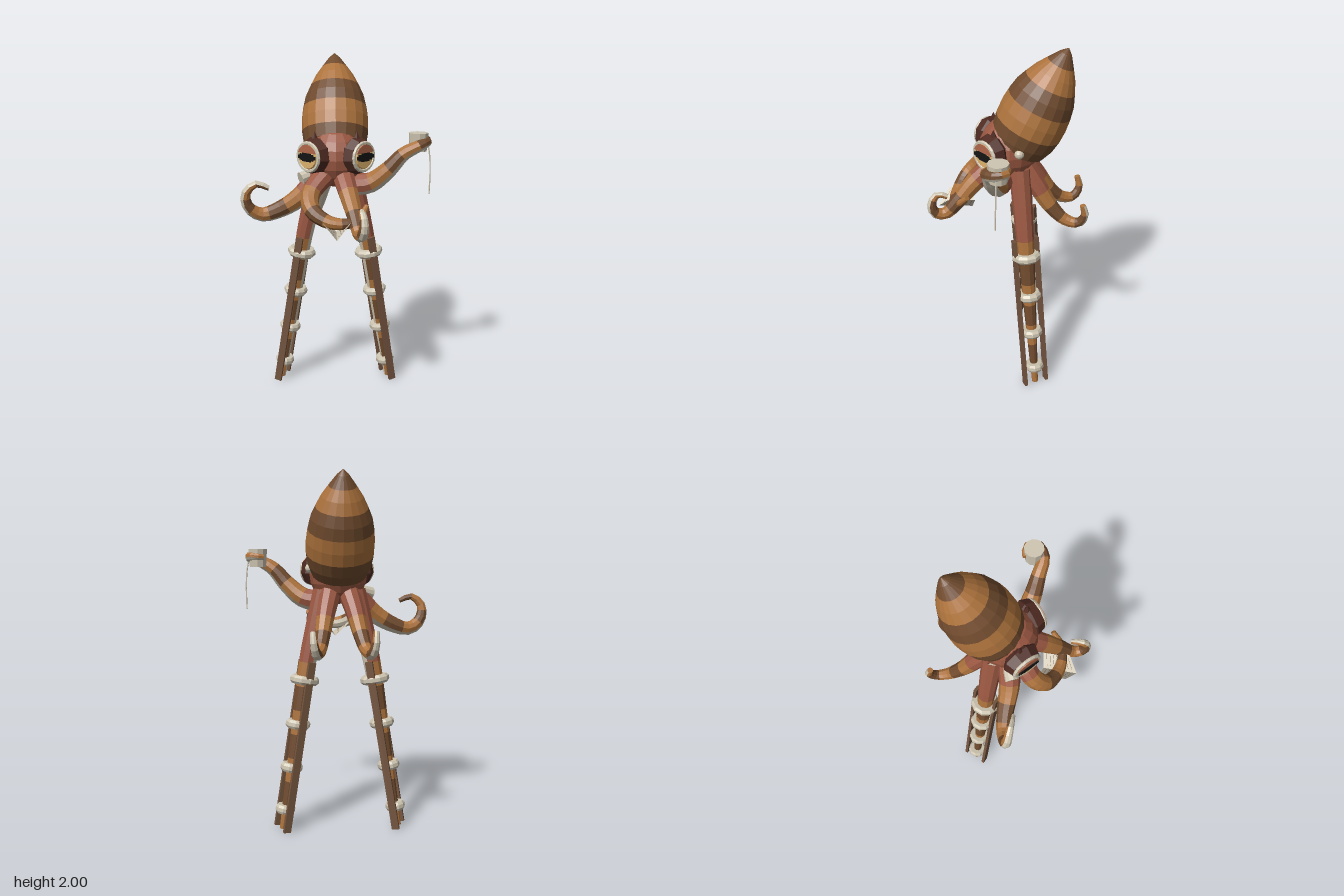
import * as THREE from 'three';

const V = (x, y, z) => new THREE.Vector3(x, y, z);
const mat = (name, color, opts = {}) =>
  new THREE.MeshStandardMaterial({ name, color, flatShading: true, ...opts });

export function createModel() {
  const model = new THREE.Group();
  model.name = 'octopusOnStilts';
  const cream = mat('cream', 0xcfc6b2, { side: THREE.DoubleSide });
  const red = mat('redSkin', 0x9b5842);
  const light = mat('lightBrown', 0xac723c);
  const dark = mat('darkBrown', 0x704b2e);
  const socketMat = mat('socketBrown', 0x4f2b22);
  const wood = mat('wood', 0x73543f);
  const tan = mat('irisTan', 0xdcb06c);
  const black = mat('black', 0x141414);
  const lidMat = mat('eyelid', 0xb0674a);

  const add = (parent, name, geo, material, pos = [0, 0, 0], rot = [0, 0, 0]) => {
    const m = new THREE.Mesh(geo, material);
    m.name = name;
    m.position.set(...pos);
    m.rotation.set(...rot);
    parent.add(m);
    return m;
  };

  // Mantle: striped lathe sections, leaning backwards
  const mantle = new THREE.Group();
  mantle.name = 'mantle';
  mantle.position.set(0, 2, -0.31);
  mantle.rotation.x = -0.435;
  model.add(mantle);
  const sections = [
    [dark, [[0, 0], [0.032, 0.03], [0.075, 0.09]]],
    [light, [[0.075, 0.09], [0.112, 0.145], [0.142, 0.205]]],
    [dark, [[0.142, 0.205], [0.168, 0.265], [0.182, 0.33]]],
    [light, [[0.182, 0.33], [0.19, 0.4], [0.189, 0.47]]],
    [dark, [[0.189, 0.47], [0.178, 0.54], [0.155, 0.6], [0, 0.66]]],
  ];
  for (const [m, pts] of sections) {
    const profile = pts.map(([r, t]) => new THREE.Vector2(r, -t)).reverse();
    add(mantle, 'mantleBand', new THREE.LatheGeometry(profile, 20), m);
  }

  // Head
  const head = add(model, 'head', new THREE.SphereGeometry(1, 16, 10), red, [0, 1.45, -0.01]);
  head.scale.set(0.165, 0.17, 0.165);

  // Tapered ten-sided arm: a pale sucker side, a red base and brown stripes
  const arm = (name, pts, r0, r1, redEnd, stripes, oral = V(0, -1, 0)) => {
    const curve = new THREE.CatmullRomCurve3(pts.map(p => V(...p)));
    const n = 20, sides = 10, rings = [];
    let u = oral.clone();
    for (let i = 0; i <= n; i++) {
      const c = curve.getPointAt(i / n), t = curve.getTangentAt(i / n);
      u = u.clone().addScaledVector(t, -u.dot(t)).normalize();
      const v = t.clone().cross(u);
      const r = r0 + (r1 - r0) * Math.pow(i / n, 1.2);
      rings.push(Array.from({ length: sides }, (_, k) => {
        const a = ((k - 0.5) / sides) * Math.PI * 2;
        return c.clone().addScaledVector(u, r * Math.cos(a)).addScaledVector(v, r * Math.sin(a));
      }));
    }
    const mats = [cream, red, light, dark], buckets = [[], [], [], []];
    for (let i = 0; i < n; i++) {
      const s = i / n;
      const skin = s < redEnd ? 1 : 2 + (Math.floor(((s - redEnd) / (1 - redEnd)) * stripes) % 2);
      for (let k = 0; k < sides; k++) {
        const k2 = (k + 1) % sides;
        const [a, b, c, d] = [rings[i][k], rings[i][k2], rings[i + 1][k2], rings[i + 1][k]];
        buckets[k <= 1 || k === sides - 1 ? 0 : skin].push(a, b, c, a, c, d);
      }
    }
    for (let k = 1; k < sides - 1; k++) buckets[2].push(rings[n][0], rings[n][k], rings[n][k + 1]);
    const geo = new THREE.BufferGeometry().setFromPoints(buckets.flat());
    let start = 0;
    buckets.forEach((b, i) => { geo.addGroup(start, b.length, i); start += b.length; });
    geo.computeVertexNormals();
    add(model, name, geo, mats);
  };

  arm('curledSideArm', [[-0.08, 1.36, 0.02], [-0.2, 1.23, 0.04], [-0.32, 1.155, 0.04], [-0.42, 1.13, 0.05],
    [-0.49, 1.18, 0.07], [-0.5, 1.26, 0.085], [-0.44, 1.315, 0.09], [-0.37, 1.29, 0.09]], 0.065, 0.014, 0.2, 6);
  arm('raisedArm', [[0.07, 1.3, 0.02], [0.19, 1.31, 0.05], [0.29, 1.39, 0.08], [0.37, 1.48, 0.095],
    [0.45, 1.525, 0.105], [0.505, 1.545, 0.06], [0.48, 1.55, 0.005], [0.42, 1.545, 0.01]], 0.065, 0.016, 0.2, 5);
  arm('crossedFrontArm', [[-0.06, 1.36, 0.07], [-0.14, 1.27, 0.16], [-0.13, 1.2, 0.23], [-0.05, 1.15, 0.28],
    [0.04, 1.14, 0.295], [0.12, 1.16, 0.275], [0.165, 1.22, 0.22]], 0.062, 0.014, 0.2, 5);
  arm('curledFrontArm', [[0.04, 1.36, 0.07], [0.07, 1.27, 0.18], [0.1, 1.17, 0.27], [0.12, 1.095, 0.35],
    [0.135, 1.115, 0.405], [0.14, 1.18, 0.415], [0.13, 1.225, 0.38], [0.13, 1.21, 0.33]], 0.062, 0.014, 0.2, 5);

  for (const s of [-1, 1]) {
    arm('backArm', [[s * 0.05, 1.36, -0.08], [s * 0.08, 1.25, -0.16], [s * 0.105, 1.13, -0.24], [s * 0.125, 1.055, -0.32],
      [s * 0.145, 1.045, -0.39], [s * 0.16, 1.1, -0.425], [s * 0.165, 1.17, -0.41]], 0.062, 0.016, 0.3, 5);

    // Leg arm reaching down between the stilt poles
    arm('legArm', [[s * 0.09, 1.36, -0.065], [s * 0.14, 1.15, -0.082], [s * 0.185, 0.95, -0.097],
      [s * 0.255, 0.5, -0.13], [s * 0.333, 0.01, -0.165]], 0.06, 0.018, 0.3, 7, V(-s, 0, 0));

    // Stilt: two poles and four padded cuffs
    const stilt = new THREE.Group();
    stilt.name = 'stilt';
    model.add(stilt);
    const top = V(s * 0.183, 0.965, -0.096), foot = V(s * 0.335, 0.008, -0.168);
    const axis = top.clone().sub(foot), length = axis.length();
    axis.normalize();
    const across = V(s * 0.37, 0, 0.93);
    across.addScaledVector(axis, -across.dot(axis)).normalize();
    const turn = new THREE.Quaternion().setFromRotationMatrix(
      new THREE.Matrix4().makeBasis(axis.clone().cross(across), axis, across));
    for (const side of [-1, 1]) {
      const p = top.clone().add(foot).multiplyScalar(0.5).addScaledVector(across, side * 0.067);
      add(stilt, 'pole', new THREE.BoxGeometry(0.042, length, 0.018), wood, p.toArray()).quaternion.copy(turn);
    }
    [[0.86, 0.083], [0.61, 0.07], [0.365, 0.063], [0.125, 0.056]].forEach(([y, r]) => {
      const p = foot.clone().lerp(top, (y - foot.y) / (top.y - foot.y));
      const profile = [[0, -0.024], [r * 0.85, -0.024], [r, -0.01], [r, 0.01], [r * 0.85, 0.024], [0, 0.024]]
        .map(q => new THREE.Vector2(...q));
      add(stilt, 'cuff', new THREE.LatheGeometry(profile, 10), cream, p.toArray()).quaternion.copy(turn);
    });

    // Eye, facing forwards and outwards
    const eye = new THREE.Group();
    eye.name = 'eye';
    eye.position.set(s * 0.15, 1.47, 0.122);
    eye.rotation.y = s * 0.75;
    model.add(eye);
    add(eye, 'socket', new THREE.CylinderGeometry(0.088, 0.105, 0.05, 9), socketMat, [0, 0, -0.03], [Math.PI / 2, 0, 0]);
    add(eye, 'socketBack', new THREE.CylinderGeometry(0.105, 0.06, 0.06, 9), socketMat, [0, 0, -0.085], [Math.PI / 2, 0, 0]);
    add(eye, 'eyeRim', new THREE.TorusGeometry(0.076, 0.011, 6, 18), cream);
    add(eye, 'iris', new THREE.CylinderGeometry(0.062, 0.074, 0.018, 18), tan, [0, 0, 0.002], [Math.PI / 2, 0, 0]);
    const lid = new THREE.Shape();
    lid.absarc(0, 0, 0.068, 0.35, Math.PI - 0.35, false);
    add(eye, 'eyelid', new THREE.ExtrudeGeometry(lid, { depth: 0.006, bevelEnabled: false }), lidMat, [0, 0, 0.009]);
    for (const [w, h] of [[0.125, 0.018], [0.1, 0.034], [0.06, 0.046]])
      add(eye, 'pupil', new THREE.BoxGeometry(w, h, 0.007), black, [0, 0, 0.014]);
    add(model, 'browSpike', new THREE.ConeGeometry(0.028, 0.06, 5), socketMat, [s * 0.115, 1.572, 0.075]);
  }

  // Siphon and small side knob
  const siphon = add(model, 'siphon', new THREE.CylinderGeometry(0.038, 0.032, 0.07, 10), cream, [-0.165, 1.345, 0.04]);
  siphon.quaternion.setFromUnitVectors(V(0, 1, 0), V(-0.8, -0.25, 0.4).normalize());
  add(model, 'sideKnob', new THREE.SphereGeometry(0.026, 10, 8), cream, [0.165, 1.485, -0.06]);

  // Cup held by the raised arm, with a thin hanging strand
  add(model, 'cup', new THREE.CylinderGeometry(0.055, 0.048, 0.1, 10), cream, [0.455, 1.54, 0.05]);
  const strand = new THREE.CatmullRomCurve3([V(0.5, 1.56, 0.06), V(0.518, 1.47, 0.062), V(0.524, 1.36, 0.064), V(0.522, 1.25, 0.066)]);
  add(model, 'strand', new THREE.TubeGeometry(strand, 8, 0.004, 5), cream);

  // Open booklet in front, with ruled pages
  const quad = (a, b, c, d) => {
    const g = new THREE.BufferGeometry().setFromPoints([a, b, c, a, c, d]);
    g.computeVertexNormals();
    return g;
  };
  const booklet = new THREE.Group();
  booklet.name = 'booklet';
  model.add(booklet);
  for (const s of [-1, 1]) {
    const A = V(0, 1.07, 0.2), B = V(0, 1.075, 0.39), C = V(s * 0.07, 1.15, 0.335), D = V(s * 0.1, 1.17, 0.18);
    add(booklet, 'page', quad(A, B, C, D), cream);
    const normal = B.clone().sub(A).cross(C.clone().sub(A)).normalize();
    const at = (u, v, h) => A.clone().lerp(B, u).lerp(D.clone().lerp(C, u), v).addScaledVector(normal, h);
    for (let i = 1; i < 9; i++) {
      const u = i / 9, w = 0.012;
      add(booklet, 'pageLine', quad(at(u, 0.15, 0.002), at(u + w, 0.15, 0.002), at(u + w, 0.85, 0.002), at(u, 0.85, 0.002)), wood);
      add(booklet, 'pageLine', quad(at(u, 0.15, -0.002), at(u, 0.85, -0.002), at(u + w, 0.85, -0.002), at(u + w, 0.15, -0.002)), wood);
    }
  }
  return model;
}
